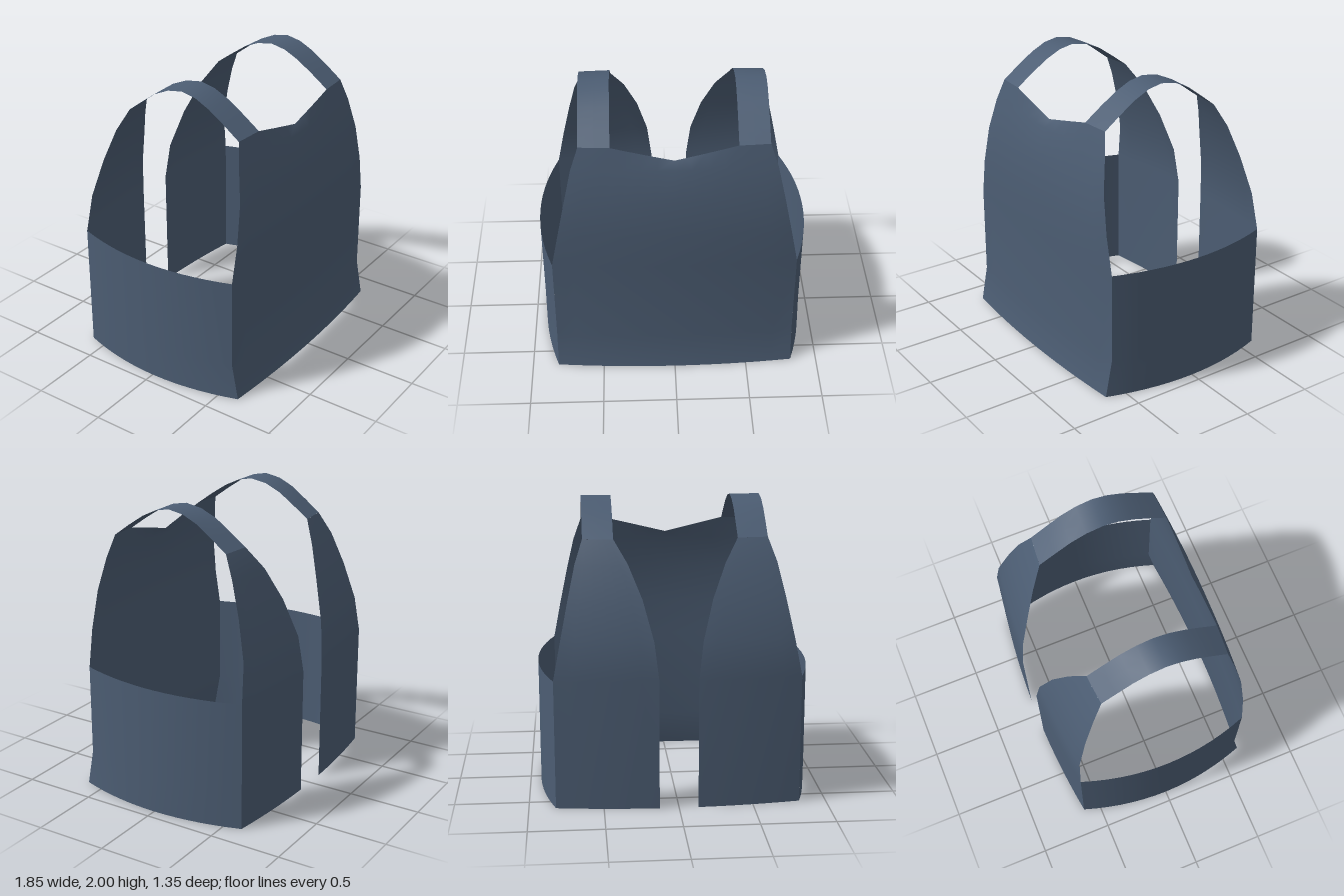
import * as THREE from 'three';

// Cloth bows: both faces sit furthest out on the centre line
const bow = (x, z) => {
  const k = Math.max(-1, Math.min(1, (z - 0.06) / 0.45));
  return z - (k > 0 ? 0.06 : 0.09) * k * x * x;
};

// Sheet of cloth from a grid of points: point(row, u) with u in 0..1
function sheet(rows, us, point) {
  const pos = [], index = [], n = us.length;
  rows.forEach((row) => us.forEach((u) => pos.push(...point(row, u))));
  for (let j = 0; j < rows.length - 1; j++) {
    for (let i = 0; i < n - 1; i++) {
      const a = j * n + i, b = a + 1, c = a + n, d = c + 1;
      index.push(a, b, d, a, d, c);
    }
  }
  const geo = new THREE.BufferGeometry();
  geo.setAttribute('position', new THREE.Float32BufferAttribute(pos, 3));
  geo.setIndex(index);
  geo.computeVertexNormals();
  return geo;
}

const steps = (n) => Array.from({ length: n + 1 }, (_, i) => i / n);

export function createModel() {
  const model = new THREE.Group();
  model.name = 'vest';
  const cloth = new THREE.MeshStandardMaterial({ color: 0x4c5d73, side: THREE.DoubleSide });
  cloth.name = 'slate cloth';
  const add = (name, geo) => {
    const mesh = new THREE.Mesh(geo, cloth);
    mesh.name = name;
    model.add(mesh);
  };

  // Front panel rows: y, centre z, half width
  const front = [
    [0, 0.675, 0.82], [0.25, 0.628, 0.82], [0.88, 0.627, 0.82], [1.135, 0.627, 0.77],
    [1.4, 0.605, 0.715], [1.62, 0.557, 0.665], [1.77, 0.515, 0.613],
  ];
  const neck = 0.41 / 0.613;
  const half = [0, neck / 4, neck / 2, neck * 0.75, neck, (1 + neck) / 2, 1];
  const across = [...half.slice(1).reverse().map((u) => -u), ...half];
  add('frontPanel', sheet(front, across, ([y, z, w], u) => {
    const x = u * w;
    // V neckline in the top row
    const dip = y > 1.7 ? 0.1 * Math.max(0, 1 - Math.abs(u) / neck) : 0;
    return [x, y - dip, bow(x, z)];
  }));

  // Back panel rows: y, centre z, inner x, outer x
  const back = [
    [0, -0.68, 0.13, 0.82], [0.88, -0.68, 0.13, 0.82], [1.135, -0.653, 0.16, 0.77],
    [1.4, -0.575, 0.23, 0.715], [1.62, -0.49, 0.32, 0.665], [1.77, -0.405, 0.41, 0.613],
  ];
  // Shoulder strap rows, back to front
  const strap = [
    [1.77, -0.405], [1.85, -0.293], [1.93, -0.175], [1.98, -0.06], [2, 0.06],
    [1.98, 0.167], [1.93, 0.275], [1.855, 0.393], [1.77, 0.515],
  ].map(([y, z]) => [y, z, 0.41, 0.613]);
  // Side panel rows: y, front z
  const sideRows = [[0, 0.635], [0.25, 0.588], [0.88, 0.587]];

  for (const [label, s] of [['left', 1], ['right', -1]]) {
    const strip = ([y, z, a, b], u) => {
      const x = a + (b - a) * u;
      return [s * x, y, bow(x, z)];
    };
    add(label + 'BackPanel', sheet(back, steps(6), strip));
    add(label + 'Strap', sheet(strap, steps(2), strip));
    // Side bulges outward between front and back
    add(label + 'SidePanel', sheet(sideRows, steps(14), ([y, zf], u) => {
      const t = 2 * u - 1;
      return [s * (0.82 + 0.107 * (1 - t * t)), y, zf + (-0.62 - zf) * u];
    }));
  }
  return model;
}
